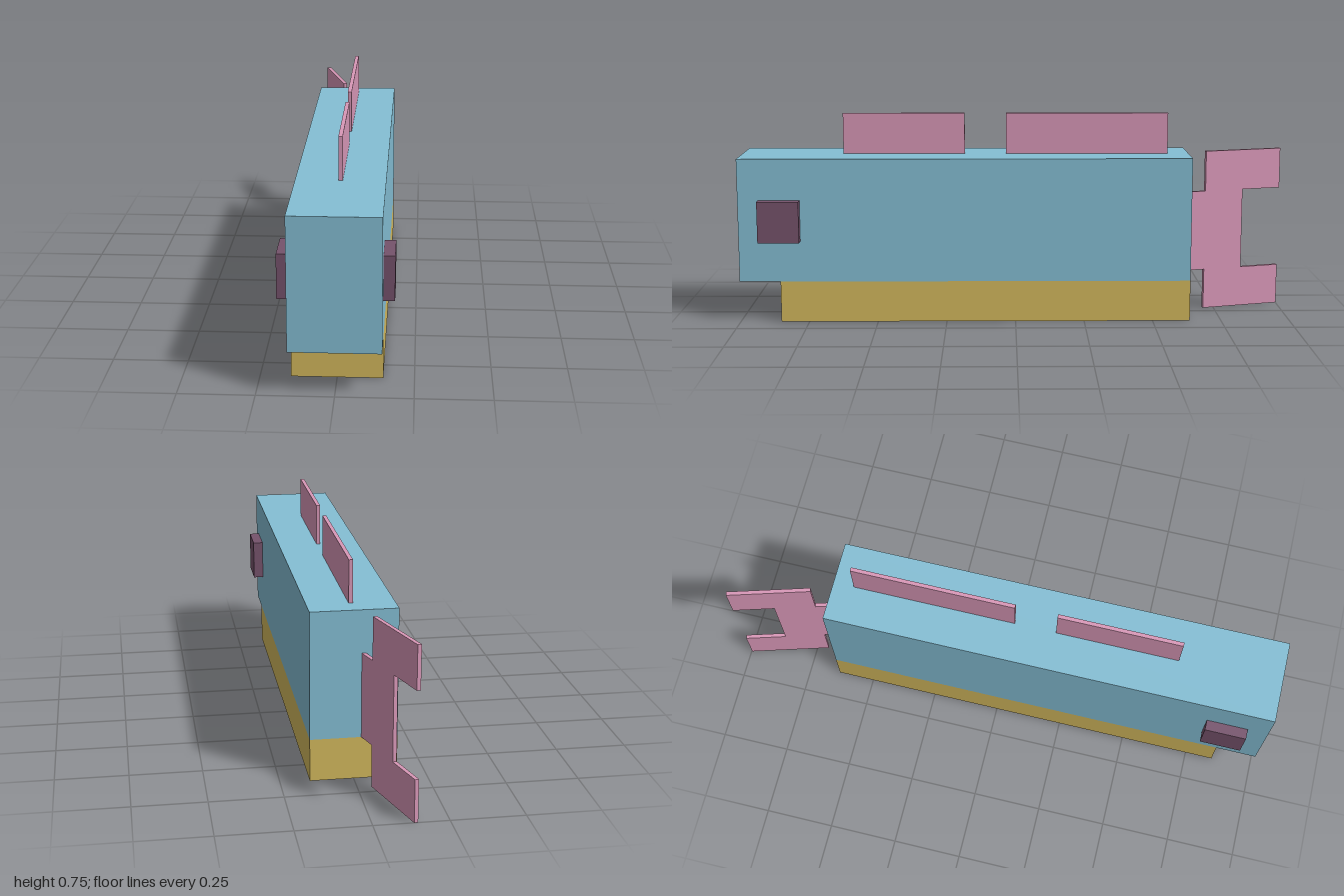
import * as THREE from 'three';

const mat = (name, color) => {
  const m = new THREE.MeshStandardMaterial({ color });
  m.name = name;
  return m;
};

export function createModel() {
  const group = new THREE.Group();
  const blue = mat('blue', 0x85bfd5);
  const yellow = mat('yellow', 0xd5ba5e);
  const pink = mat('pink', 0xd998b8);
  const plum = mat('plum', 0x76536c);

  // Box given by its lowest and highest corners
  const box = (name, material, [x0, y0, z0], [x1, y1, z1]) => {
    const mesh = new THREE.Mesh(new THREE.BoxGeometry(x1 - x0, y1 - y0, z1 - z0), material);
    mesh.position.set((x0 + x1) / 2, (y0 + y1) / 2, (z0 + z1) / 2);
    mesh.name = name;
    group.add(mesh);
  };

  // Body and the shorter jaw and belly below it
  box('body', blue, [-0.149, 0.149, -0.636], [0.149, 0.597, 1]);
  box('belly', yellow, [-0.149, 0, -0.636], [0.149, 0.149, 0.852]);

  // Eyes
  box('leftEye', plum, [0.149, 0.298, 0.777], [0.186, 0.447, 0.926]);
  box('rightEye', plum, [-0.186, 0.298, 0.777], [-0.149, 0.447, 0.926]);

  // Fins along the back
  box('frontFin', pink, [-0.007, 0.597, 0.185], [0.007, 0.746, 0.63]);
  box('rearFin', pink, [-0.007, 0.597, -0.56], [0.007, 0.746, 0.034]);

  // Forked tail, swung to the right
  const outline = [
    [-0.004, 0.149], [0.078, 0.149], [0.078, 0], [0.381, 0], [0.381, 0.149], [0.229, 0.149],
    [0.229, 0.447], [0.381, 0.447], [0.381, 0.597], [0.078, 0.597], [0.078, 0.447], [-0.004, 0.447],
  ].map(([x, y]) => new THREE.Vector2(x, y));
  const tailGeometry = new THREE.ExtrudeGeometry(new THREE.Shape(outline), { depth: 0.014, bevelEnabled: false });
  tailGeometry.translate(0, 0, -0.007);
  const tail = new THREE.Mesh(tailGeometry, pink);
  tail.name = 'tail';
  tail.position.set(-0.032, 0, -0.634);
  tail.rotation.y = 1.858;
  group.add(tail);

  return group;
}
